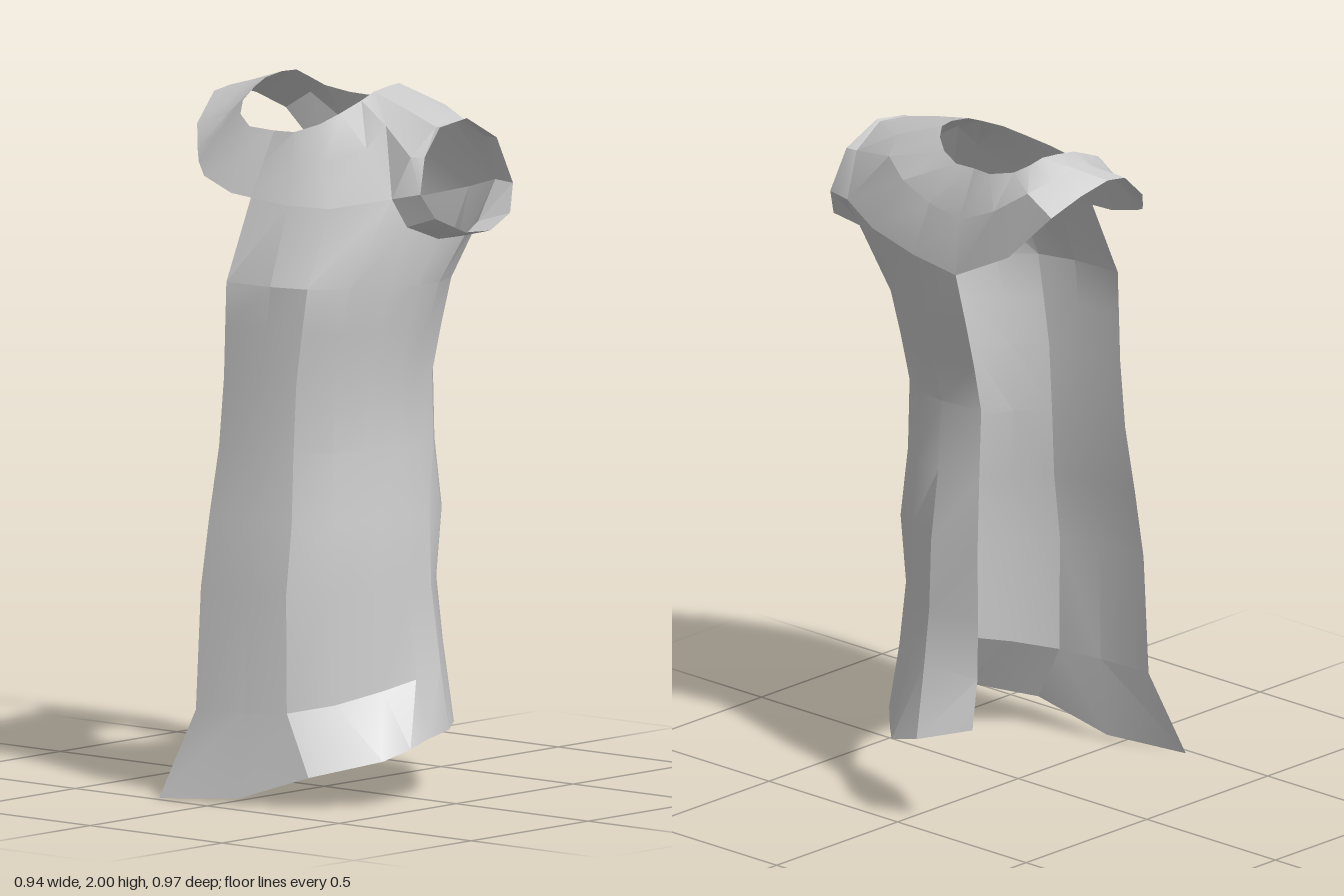
import * as THREE from 'three';
import { toCreasedNormals } from 'three/addons/utils/BufferGeometryUtils.js';

const cloth = new THREE.MeshStandardMaterial({ color: 0xcccccc, side: THREE.DoubleSide });

// Skin a list of rows; each row is a list of [x, y, z] points
function loft(name, rows) {
  const n = rows[0].length;
  const index = [];
  for (let r = 0; r < rows.length - 1; r++) {
    for (let c = 0; c < n - 1; c++) {
      const a = r * n + c, b = a + 1, d = a + n, e = d + 1;
      index.push(a, b, e, a, e, d);
    }
  }
  const geo = new THREE.BufferGeometry();
  geo.setAttribute('position', new THREE.Float32BufferAttribute(rows.flat(2), 3));
  geo.setIndex(index);
  const mesh = new THREE.Mesh(toCreasedNormals(geo, 0.38), cloth);
  mesh.name = name;
  return mesh;
}

// Row halfway between two rows, rounded over the shoulder and the upper back
function middle(a, b) {
  return a.map((p, i) => {
    const [x, y, z] = p.map((v, k) => (v + b[i][k]) / 2);
    const rise = (p[1] - b[i][1]) ** 2 * Math.abs(p[0] - b[i][0]) * 2;
    const back = THREE.MathUtils.clamp((-0.2 - z) / 0.1, 0, 1) * 0.022;
    return [x, y + rise + back * 0.4, z - back];
  });
}

// Half cross-section of the dress, from the front edge round the side to the back edge
const across = [0, 0.35, 0.6, 0.8, 0.93, 1, 1, 0.93, 0.8, 0.6, 0.35, 0];
const depth = [1, 0.97, 0.87, 0.63, 0.29, 0.02, -0.25, -0.52, -0.73, -0.9, -1, -0.95];

function section([yFront, yBack, frontEdge, backEdge, side, front, back, pinch]) {
  return across.map((a, i) => {
    const d = depth[i];
    const edge = d > 0 ? frontEdge : backEdge;
    const inset = i > 6 && i < 10 ? pinch : 0; // rounds off the back corner
    return [
      edge + a * (side - edge) - inset,
      (yFront + yBack) / 2 + d * (yFront - yBack) / 2,
      (front + back) / 2 + d * (front - back) / 2 + inset,
    ];
  });
}

export function createModel() {
  const model = new THREE.Group();
  model.name = 'halfDress';

  // Slanted flared hem
  const hem = [
    [-0.2, 0, 0.48], [0.04, 0.015, 0.41], [0.26, 0.09, 0.36], [0.41, 0.135, 0.21],
    [0.425, 0.16, 0.11], [0.415, 0.18, 0.02], [0.385, 0.19, -0.1], [0.31, 0.195, -0.205],
    [0.18, 0.2, -0.34], [0.07, 0.22, -0.45], [-0.06, 0.26, -0.485], [-0.24, 0.32, -0.445],
  ];

  // Chest line, running under the arm
  const chest = [
    [-0.1, 1.7, 0.2], [0.04, 1.69, 0.2], [0.17, 1.69, 0.165], [0.31, 1.72, 0.06],
    [0.34, 1.64, 0.03], [0.38, 1.6, -0.06], [0.39, 1.6, -0.16], [0.37, 1.63, -0.24],
    [0.36, 1.74, -0.325], [0.22, 1.7, -0.37], [0.06, 1.66, -0.372], [-0.09, 1.63, -0.355],
  ];

  // Same line, running over the shoulder instead; the gap between is the armhole
  const shoulder = chest.slice();
  shoulder.splice(4, 4,
    [0.35, 1.84, 0.025], [0.37, 1.92, -0.06], [0.38, 1.93, -0.17], [0.375, 1.87, -0.27]);

  // Skirt and bodice: front y, back y, front edge x, back edge x, side x, front z, back z, pinch
  const sections = [
    [0.25, 0.44, -0.14, -0.18, 0.36, 0.39, -0.38, 0.025],
    [0.6, 0.6, -0.13, -0.155, 0.338, 0.38, -0.35, 0.02],
    [0.8, 0.8, -0.125, -0.14, 0.33, 0.35, -0.335, 0.003],
    [1.0, 1.0, -0.11, -0.115, 0.3, 0.325, -0.3, -0.005],
    [1.2, 1.2, -0.1, -0.1, 0.3, 0.315, -0.275, -0.01],
    [1.34, 1.34, -0.1, -0.1, 0.325, 0.31, -0.305, -0.005],
    [1.47, 1.47, -0.1, -0.1, 0.35, 0.305, -0.338, 0],
  ].map(section);
  model.add(loft('dressBody', [hem, ...sections, chest]));

  // Neckline, front to back on the sleeved side, mirrored for the other side
  const neck = [
    [-0.105, 1.88, 0.095], [-0.02, 1.885, 0.105], [0.045, 1.91, 0.07], [0.08, 1.94, 0.02],
    [0.097, 1.97, -0.05], [0.1, 1.99, -0.1], [0.1, 2, -0.17], [0.09, 2, -0.22],
    [0.07, 1.98, -0.25], [0.03, 1.955, -0.275], [-0.04, 1.94, -0.3], [-0.105, 1.94, -0.295],
  ];
  const neckMirror = neck.map(([x, y, z]) => [-0.21 - x, y, z]);
  model.add(loft('leftYoke', [shoulder, middle(shoulder, neck), neck]));

  // Open shoulder cape on the other side
  const cape = [
    [-0.1, 1.7, 0.2], [-0.18, 1.705, 0.195], [-0.3, 1.74, 0.175], [-0.36, 1.77, 0.13],
    [-0.4, 1.8, 0.09], [-0.45, 1.86, 0.035], [-0.47, 1.94, -0.06], [-0.47, 1.95, -0.13],
    [-0.45, 1.92, -0.22], [-0.42, 1.87, -0.31], [-0.27, 1.72, -0.33], [-0.09, 1.63, -0.355],
  ];
  model.add(loft('rightYoke', [neckMirror, middle(neckMirror, cape), cape]));

  // Short flared sleeve
  const armhole = [...shoulder.slice(3, 9), ...chest.slice(4, 8).reverse(), shoulder[3]];
  const cuff = [
    [0.4, 1.74, 0.04], [0.385, 1.84, 0.005], [0.385, 1.92, -0.06], [0.39, 1.935, -0.17],
    [0.41, 1.87, -0.275], [0.445, 1.74, -0.305], [0.465, 1.66, -0.27], [0.47, 1.62, -0.18],
    [0.465, 1.625, -0.08], [0.43, 1.67, 0.01], [0.4, 1.74, 0.04],
  ];
  model.add(loft('leftSleeve', [cuff, armhole]));

  return model;
}
